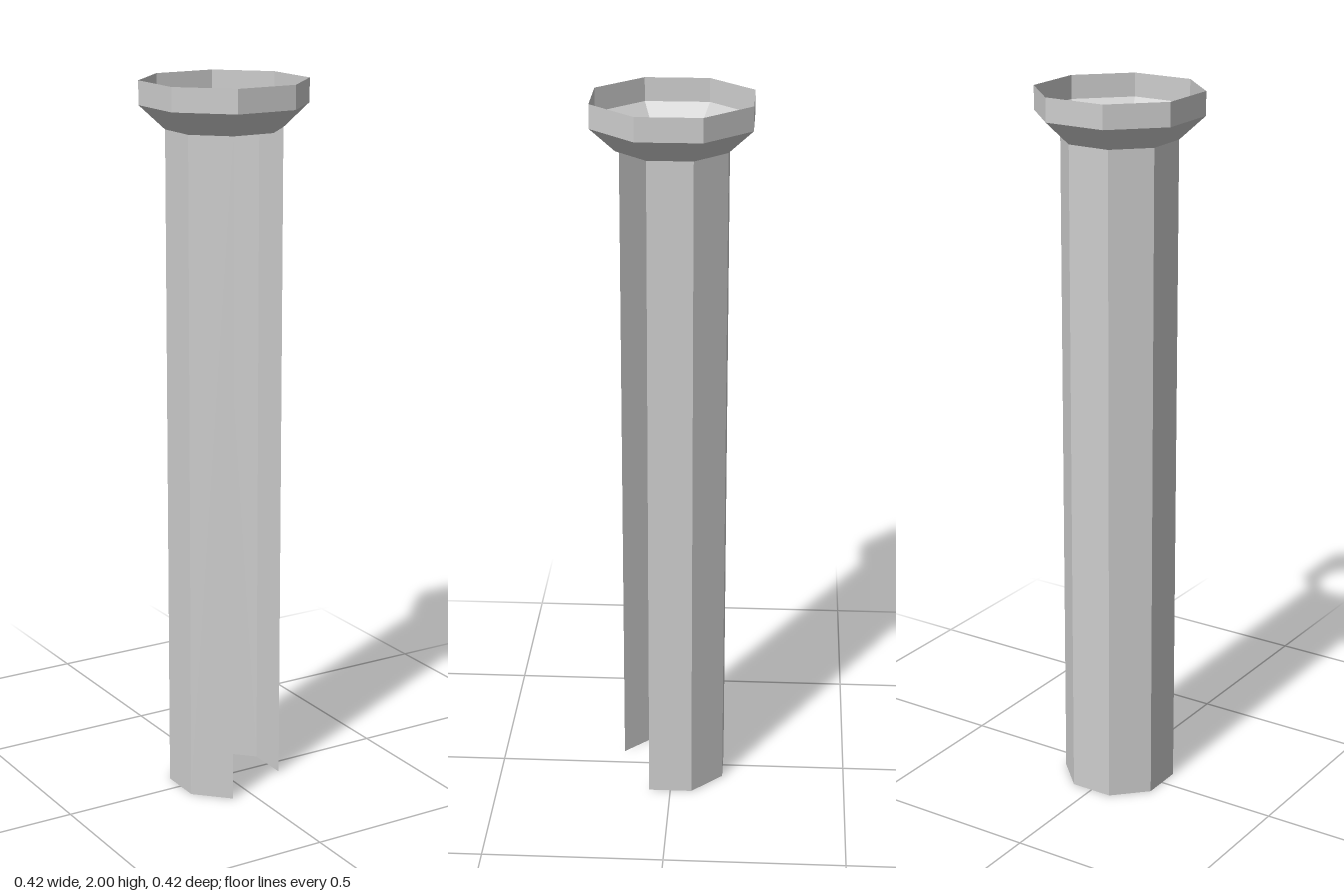
import * as THREE from 'three';

const SIDES = 8;
const STEP = (Math.PI * 2) / SIDES;
const SHAFT_R = 0.159, RIM_R = 0.229;

export function createModel() {
  const stone = new THREE.MeshStandardMaterial({
    color: 0xcccccc, flatShading: true, side: THREE.DoubleSide,
  });
  stone.name = 'paleGreyStone';

  const model = new THREE.Group();
  model.name = 'octagonalColumn';

  // Open thin-walled octagonal band; firstCorner counts corners from the front face
  function band(name, bottomR, topR, y0, y1, firstCorner = 0, faces = SIDES) {
    const geometry = new THREE.CylinderGeometry(
      topR, bottomR, y1 - y0, faces, 1, true,
      STEP * (firstCorner + 0.5), STEP * faces,
    );
    const mesh = new THREE.Mesh(geometry, stone);
    mesh.name = name;
    mesh.position.y = (y0 + y1) / 2;
    model.add(mesh);
  }

  // Shaft is open on the front face and the neighbouring diagonal on +x
  band('shaft', SHAFT_R, SHAFT_R, 0, 1.87, 1, 6);

  // Capital: sloped flare with an upright rim, open at the top
  band('capitalFlare', SHAFT_R, RIM_R, 1.87, 1.935);
  band('capitalRim', RIM_R, RIM_R, 1.935, 2);

  return model;
}
